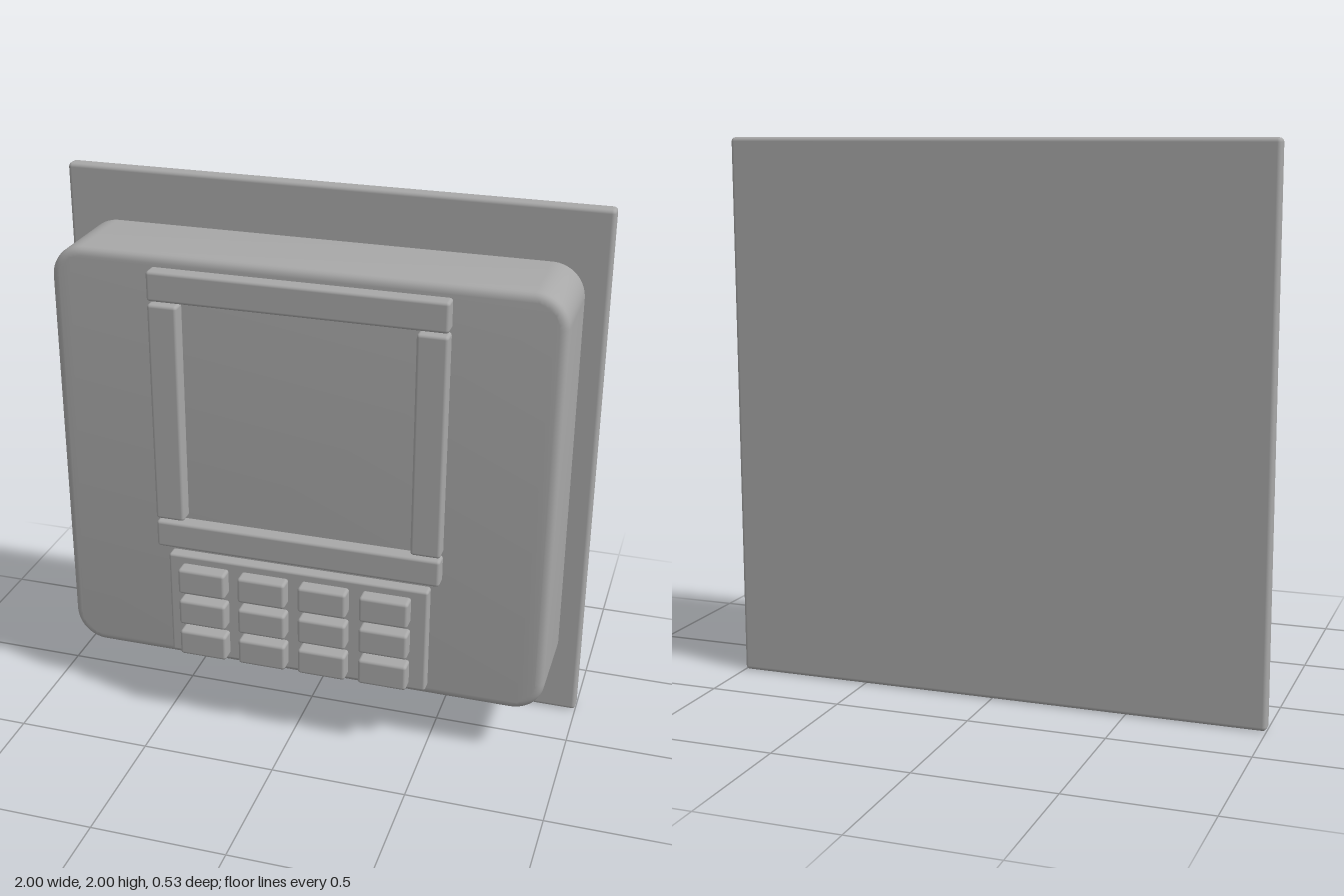
import * as THREE from 'three';
import { RoundedBoxGeometry } from 'three/addons/geometries/RoundedBoxGeometry.js';
import { toCreasedNormals } from 'three/addons/utils/BufferGeometryUtils.js';

const grey = new THREE.MeshStandardMaterial({ color: 0xa8a8a8 });
grey.name = 'grey';

// Soft-edged box given by its limits on each axis
function block(name, [x0, x1], [y0, y1], [z0, z1], radius = 0.012) {
  const geometry = new RoundedBoxGeometry(x1 - x0, y1 - y0, z1 - z0, 2, radius);
  const mesh = new THREE.Mesh(geometry, grey);
  mesh.name = name;
  mesh.position.set((x0 + x1) / 2, (y0 + y1) / 2, (z0 + z1) / 2);
  return mesh;
}

// Rounded rectangle centred on the origin
function roundedRect(w, h, r) {
  const s = new THREE.Shape();
  const x = w / 2, y = h / 2;
  s.absarc(x - r, y - r, r, 0, Math.PI / 2);
  s.absarc(-x + r, y - r, r, Math.PI / 2, Math.PI);
  s.absarc(-x + r, -y + r, r, Math.PI, Math.PI * 1.5);
  s.absarc(x - r, -y + r, r, Math.PI * 1.5, Math.PI * 2);
  s.closePath();
  return s;
}

// Housing with large corner radii and softened front and back rims
function housing() {
  const bevel = 0.03, z0 = -0.207, z1 = 0.153;
  const shape = roundedRect(1.84 - 2 * bevel, 1.61 - 2 * bevel, 0.12 - bevel);
  const geometry = new THREE.ExtrudeGeometry(shape, {
    depth: z1 - z0 - 2 * bevel, curveSegments: 8,
    bevelThickness: bevel, bevelSize: bevel, bevelSegments: 4,
  });
  const mesh = new THREE.Mesh(toCreasedNormals(geometry, 0.7), grey);
  mesh.name = 'housing';
  mesh.position.set(0, 1.005, z0 + bevel);
  return mesh;
}

export function createModel() {
  const model = new THREE.Group();
  model.name = 'wallKeypad';

  // Wall plate and housing
  model.add(block('backPlate', [-1, 1], [0, 2], [-0.265, -0.207], 0.015), housing());

  // Four bars around the screen opening
  const frame = new THREE.Group();
  frame.name = 'screenFrame';
  const barZ = [0.153, 0.215];
  frame.add(
    block('topBar', [-0.535, 0.535], [1.66, 1.77], barZ),
    block('bottomBar', [-0.535, 0.535], [0.7, 0.805], barZ),
    block('leftBar', [0.425, 0.535], [0.815, 1.65], barZ),
    block('rightBar', [-0.535, -0.425], [0.815, 1.65], barZ),
  );
  model.add(frame);

  // Keypad plate with three rows of four keys
  const keypad = new THREE.Group();
  keypad.name = 'keypad';
  keypad.add(block('keypadPlate', [-0.495, 0.495], [0.25, 0.668], [0.153, 0.205], 0.01));
  for (let row = 0; row < 3; row++) {
    for (let col = 0; col < 4; col++) {
      const x = -0.348 + col * 0.231, y = 0.328 + row * 0.131;
      keypad.add(block('key', [x - 0.091, x + 0.091], [y - 0.051, y + 0.051], [0.203, 0.265]));
    }
  }
  model.add(keypad);
  return model;
}
